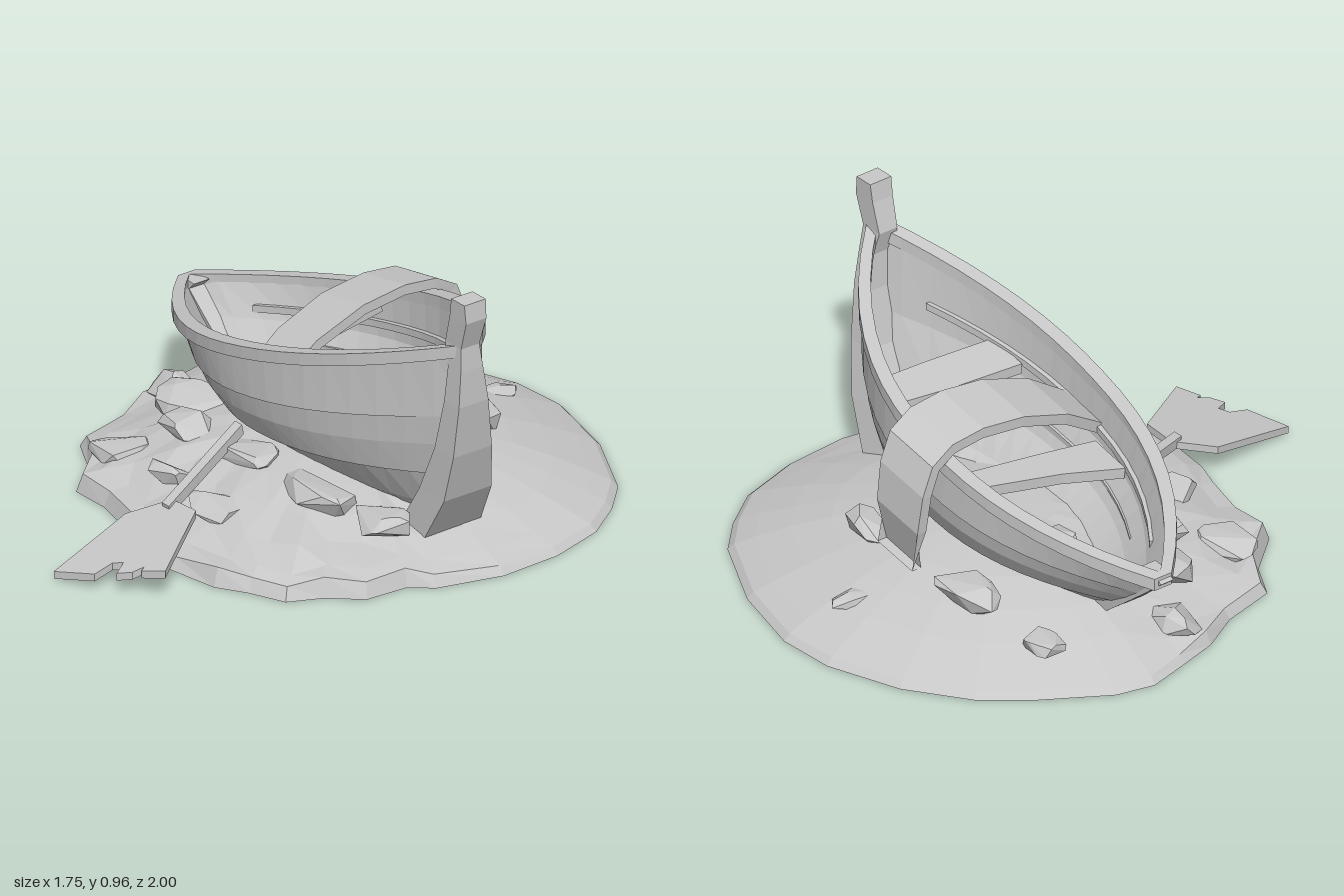
import * as THREE from 'three';
import { ConvexGeometry } from 'three/addons/geometries/ConvexGeometry.js';

const V = (x, y, z) => new THREE.Vector3(x, y, z);
const lerp = THREE.MathUtils.lerp;
const grey = new THREE.MeshStandardMaterial({ color: 0xc8c8c8 });
grey.name = 'weathered grey';

let seed = 7;
const rand = () => (seed = (seed * 16807) % 2147483647) / 2147483647;
const jitter = (a) => (rand() - 0.5) * 2 * a;

// Faceted solid through closed rings of points, capped at both ends and facing outward
function loft(rings) {
  const tris = [], n = rings[0].length;
  for (let i = 0; i < rings.length - 1; i++) {
    for (let j = 0; j < n; j++) {
      const k = (j + 1) % n;
      const a = rings[i][j], b = rings[i][k], c = rings[i + 1][k], d = rings[i + 1][j];
      tris.push([a, b, c], [a, c, d]);
    }
  }
  const cap = (ring, flip) => {
    const mid = ring.reduce((s, p) => s.add(p), V(0, 0, 0)).divideScalar(n);
    ring.forEach((p, j) => {
      const q = ring[(j + 1) % n];
      tris.push(flip ? [mid, q, p] : [mid, p, q]);
    });
  };
  cap(rings[0], true);
  cap(rings[rings.length - 1], false);
  const volume = tris.reduce((s, [a, b, c]) => s + a.dot(V(0, 0, 0).crossVectors(b, c)), 0);
  if (volume < 0) tris.forEach((t) => t.reverse());
  const g = new THREE.BufferGeometry().setFromPoints(tris.flat());
  g.computeVertexNormals();
  return g;
}

// Hull surface: s runs stern -1 to bow 1, (p, q) are height and width fractions, side is +1 or -1
const sheerY = (s) => 0.54 + 0.222 * s + 0.032 * s * s;
const halfWidth = (s) => 0.018 + 0.32 * (1 - Math.pow(Math.abs(s), 2.2));
function hullPoint(s, p, q, side, inset = 0, lift = 0) {
  const t = (s + 1) / 2;
  const keelY = 0.08 + lift;
  const bulge = 4 * p * (1 - p) * (s > 0 ? 0.06 : 0.03) * s * Math.abs(s);
  const x = lerp(lerp(-0.52, 0.62, t), lerp(-0.85, 0.8, t), p) + bulge;
  const zMid = lerp(-0.14 + 0.045 * s, -0.137 + 0.03 * s + 0.06 * s * s * s + 0.015 * s * s, p);
  const w = Math.max(halfWidth(s) * q - inset, 0.004);
  return V(x, lerp(keelY, sheerY(s), p), zMid + side * w);
}

// Overlapping planks, from keel to rim
const STRAKES = [[0, 0.1], [0.13, 0.5], [0.34, 0.79], [0.325, 0.83], [0.5, 0.94], [0.67, 0.98], [0.655, 1.005], [1, 1]];
const INSIDE = [[0, 0.1], [0.13, 0.48], [0.34, 0.77], [0.6, 0.94], [1, 0.98]];
const stations = Array.from({ length: 19 }, (_, i) => i / 9 - 1);

function hullRing(s) {
  const wall = (rows, side, inset, lift) => rows.map(([p, q]) => hullPoint(s, p, q, side, inset, lift));
  return [
    ...wall(STRAKES, 1, 0, 0).reverse(), ...wall(STRAKES, -1, 0, 0),
    ...wall(INSIDE, -1, 0.025, 0.04).reverse(), ...wall(INSIDE, 1, 0.025, 0.04),
  ];
}

// Rectangular strip along one side of the hull
function railing(side, p, q, outer, inner, top, bottom, from = -1, to = 1) {
  return loft(stations.filter((s) => s >= from && s <= to).map((s) => {
    const c = hullPoint(s, p, q, side);
    return [[outer, top], [inner, top], [inner, bottom], [outer, bottom]]
      .map(([o, y]) => V(c.x, c.y + y, c.z + side * o));
  }));
}

// Board through [x, y, z, width] points, running mostly along z
function board(points, thick, tilt = 0) {
  const centres = points.map(([x, y, z]) => V(x, y, z));
  return loft(points.map(([, , , w], i) => {
    const c = centres[i];
    const dir = centres[Math.min(i + 1, centres.length - 1)].clone().sub(centres[Math.max(i - 1, 0)]);
    const up = V(0, -dir.z, dir.y).normalize().multiplyScalar(thick / 2);
    if (dir.z > 0) up.negate();
    const across = V(w / 2, (w / 2) * tilt, 0);
    return [[1, 1], [-1, 1], [-1, -1], [1, -1]]
      .map(([a, b]) => c.clone().addScaledVector(across, a).addScaledVector(up, b));
  }));
}

export function createModel() {
  const model = new THREE.Group();
  const add = (name, geometry, parent = model) => {
    const mesh = new THREE.Mesh(geometry, grey);
    mesh.name = name;
    parent.add(mesh);
  };
  const group = (name) => {
    const g = new THREE.Group();
    g.name = name;
    model.add(g);
    return g;
  };

  // Earth mound with a ragged front edge
  const outline = [
    [0.87, -0.12], [0.81, 0.1], [0.75, 0.17], [0.74, 0.32], [0.65, 0.42], [0.6, 0.53], [0.48, 0.58], [0.38, 0.64],
    [0.2, 0.67], [0, 0.65], [-0.12, 0.6], [-0.28, 0.56], [-0.42, 0.56], [-0.54, 0.42], [-0.67, 0.35], [-0.72, 0.16],
    [-0.8, 0.02], [-0.84, -0.12], [-0.88, -0.27], [-0.85, -0.4], [-0.72, -0.61], [-0.6, -0.76], [-0.4, -0.9],
    [-0.15, -0.99], [0.05, -1], [0.32, -0.93], [0.59, -0.79], [0.7, -0.68], [0.8, -0.54], [0.86, -0.34],
  ];
  const mound = [1, 0.975, 0.9, 0.77, 0.62, 0.45, 0.2].map((s, k) => outline.map(([x, z]) => {
    const front = THREE.MathUtils.smoothstep(z, -0.3, 0.25);
    const rough = k > 0 && k < 5 ? front : 0;
    const edge = rough * (k > 1);
    const y = k === 0 ? 0 : 0.012 + 0.2 * (1 - s * s) + front * (0.045 * s ** 6 - 0.01) + jitter(0.014) * rough;
    return V(x * s + jitter(0.015) * edge, y, -0.17 + (z + 0.17) * s + jitter(0.015) * edge);
  }));
  add('mound', loft(mound));

  // Stones and clods half sunk in the earth: centre, then half sizes
  const rocks = group('rocks');
  [
    [-0.61, 0.115, -0.5, 0.1, 0.035, 0.06], [-0.01, 0.095, -0.77, 0.05, 0.03, 0.09], [-0.17, 0.125, 0.37, 0.09, 0.05, 0.09],
    [-0.27, 0.17, -0.54, 0.16, 0.055, 0.08], [0.2, 0.18, -0.54, 0.1, 0.055, 0.06], [-0.36, 0.24, -0.22, 0.1, 0.06, 0.09],
    [0.45, 0.23, -0.12, 0.08, 0.05, 0.06], [0.3, 0.155, 0.17, 0.18, 0.05, 0.09], [-0.05, 0.165, 0.18, 0.14, 0.05, 0.09],
    [-0.5, 0.125, 0.04, 0.15, 0.06, 0.12], [-0.33, 0.145, 0.18, 0.12, 0.05, 0.09], [-0.7, 0.07, -0.04, 0.1, 0.05, 0.09],
    [0.53, 0.125, 0.1, 0.12, 0.05, 0.1], [0.1, 0.105, 0.42, 0.12, 0.04, 0.08], [-0.45, 0.08, 0.36, 0.11, 0.05, 0.1],
  ].forEach(([x, y, z, a, b, c]) => {
    const points = Array.from({ length: 16 }, () => V(jitter(1), jitter(1), jitter(1)).normalize()
      .multiply(V(a, b, c)).add(V(x, y, z)));
    add('rock', new ConvexGeometry(points), rocks);
  });

  // Planked hull with rim and inner stringers
  const boat = group('boat');
  add('hull', loft(stations.map(hullRing)), boat);
  for (const side of [1, -1]) {
    add('gunwale', railing(side, 1, 1, 0.016, -0.034, 0.012, -0.03), boat);
    add('stringer', railing(side, 0.74, 0.95, -0.012, -0.04, 0.012, -0.012, -0.85, 0.85), boat);
    add('stringer', railing(side, 0.48, 0.86, -0.012, -0.04, 0.01, -0.01, -0.75, 0.75), boat);
  }

  // Bow stem that widens toward the keel, ending in a post: x front, x back, y, z, half width
  add('bowStem', loft([
    [0.65, 0.52, 0.09, -0.09, 0.11], [0.745, 0.62, 0.25, -0.075, 0.094], [0.795, 0.7, 0.42, -0.055, 0.076],
    [0.82, 0.745, 0.6, -0.04, 0.058], [0.82, 0.755, 0.72, -0.033, 0.044], [0.815, 0.735, 0.8, -0.03, 0.036],
    [0.848, 0.765, 0.9, -0.028, 0.04], [0.842, 0.775, 0.963, -0.028, 0.042],
  ].map(([f, b, y, z, w]) => [V(f, y, z + w), V(f, y, z - w), V(b, y, z - w), V(b, y, z + w)])), boat);

  // Stern stem
  add('sternStem', loft([
    [-0.54, 0.08], [-0.68, 0.19], [-0.79, 0.28], [-0.86, 0.34], [-0.835, 0.365],
  ].map(([x, y]) => [V(x, y, -0.18), V(x, y, -0.23), V(x + 0.07, y, -0.235), V(x + 0.07, y, -0.175)])), boat);

  // Thwarts across the hull
  add('foreThwart', board([[0.33, 0.48, 0.12, 0.14], [0.34, 0.49, -0.14, 0.14], [0.35, 0.5, -0.365, 0.12]], 0.035, 0.2), boat);
  add('aftThwart', board([[-0.2, 0.36, 0.1, 0.15], [-0.18, 0.4, -0.12, 0.11], [-0.17, 0.45, -0.42, 0.08]], 0.035, 0.2), boat);

  // Warped plank bent over the far rim
  add('bentPlank', board([
    [0.0, 0.42, 0.15, 0.18], [-0.01, 0.52, 0, 0.2], [-0.015, 0.585, -0.18, 0.21], [-0.015, 0.605, -0.34, 0.21],
    [-0.015, 0.592, -0.46, 0.21], [-0.02, 0.55, -0.535, 0.21], [-0.02, 0.46, -0.57, 0.21], [-0.015, 0.33, -0.583, 0.2],
    [0.0, 0.18, -0.58, 0.17],
  ], 0.035, 0.18));

  // Broken oar lying on the slope
  const oar = group('oar');
  add('oarShaft', board([[-0.12, 0.215, 0.15, 0.035], [-0.02, 0.16, 0.4, 0.035], [0.06, 0.13, 0.58, 0.035]], 0.035), oar);
  const blade = [
    [0.04, 0.54], [0.16, 0.54], [0.35, 0.81], [0.28, 0.85], [0.27, 0.83], [0.26, 0.87], [0.22, 0.9], [0.19, 0.85],
    [0.16, 0.87], [0.16, 0.94], [0.03, 1], [-0.03, 0.67],
  ];
  const bladeGeometry = new THREE.ExtrudeGeometry(
    new THREE.Shape(blade.map(([x, z]) => new THREE.Vector2(x, -z))), { depth: 0.025, bevelEnabled: false });
  bladeGeometry.rotateX(-Math.PI / 2);
  const pos = bladeGeometry.attributes.position;
  for (let i = 0; i < pos.count; i++) {
    pos.setY(i, pos.getY(i) + 0.115 - 0.25 * (pos.getZ(i) - 0.55) + 0.06 * pos.getX(i));
  }
  bladeGeometry.computeVertexNormals();
  add('oarBlade', bladeGeometry, oar);

  return model;
}
